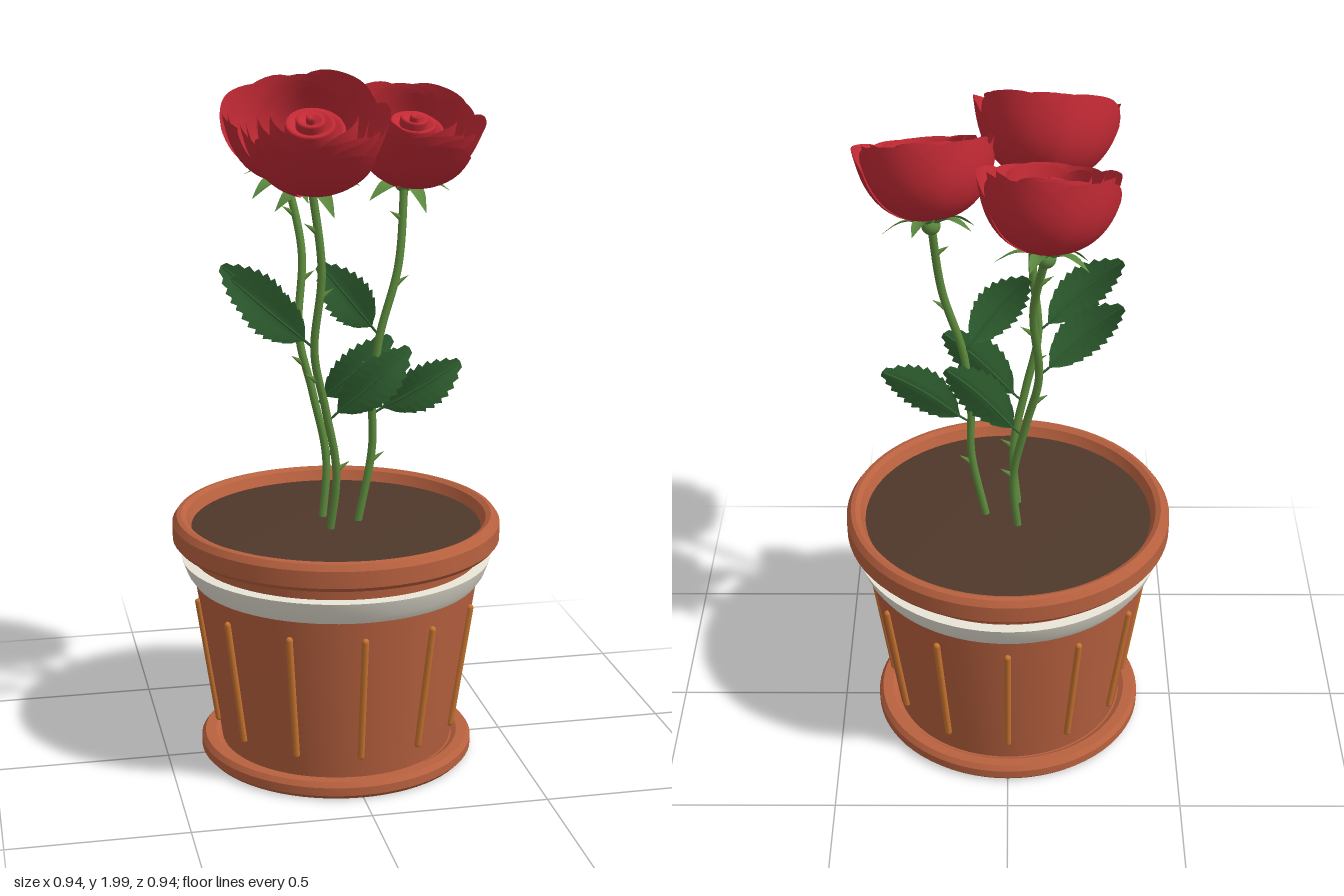
import * as THREE from 'three';
import { toCreasedNormals } from 'three/addons/utils/BufferGeometryUtils.js';

const mat = (color, side = THREE.FrontSide) => new THREE.MeshStandardMaterial({ color, side });
const V = (x, y, z) => new THREE.Vector3(x, y, z);

const clay = mat(0xb8613f);
const ribClay = mat(0xc8742f);
const cream = mat(0xe8e4d6);
const earth = mat(0x4f382b);
const stemGreen = mat(0x5c8a3c);
const sepalGreen = mat(0x5c8a40, THREE.DoubleSide);
const leafGreen = mat(0x2f6030, THREE.DoubleSide);
const red = mat(0xc42a35, THREE.DoubleSide);

function add(parent, name, geometry, material) {
  const mesh = new THREE.Mesh(geometry, material);
  mesh.name = name;
  parent.add(mesh);
  return mesh;
}

function lathe(points) {
  const profile = points.map(([r, y]) => new THREE.Vector2(r, y));
  return toCreasedNormals(new THREE.LatheGeometry(profile, 72), 0.5);
}

// Surface swept from fn(u, v), both running 0..1
function sheet(nu, nv, fn) {
  const pos = [], index = [];
  for (let i = 0; i <= nu; i++) {
    for (let j = 0; j <= nv; j++) {
      pos.push(...fn(i / nu, j / nv, i));
      if (i < nu && j < nv) {
        const a = i * (nv + 1) + j, b = a + nv + 1;
        index.push(a, b, a + 1, b, b + 1, a + 1);
      }
    }
  }
  const g = new THREE.BufferGeometry();
  g.setAttribute('position', new THREE.Float32BufferAttribute(pos, 3));
  g.setIndex(index);
  g.computeVertexNormals();
  return g;
}

function createPot() {
  const pot = new THREE.Group();
  pot.name = 'pot';
  add(pot, 'saucer', lathe([[0, 0], [0.385, 0], [0.396, 0.012], [0.396, 0.036], [0.385, 0.05], [0.355, 0.05], [0.34, 0.04], [0, 0.04]]), clay);
  add(pot, 'potWall', lathe([[0.335, 0.04], [0.408, 0.53], [0.42, 0.66]]), clay);
  add(pot, 'creamBand', lathe([[0.4, 0.53], [0.413, 0.53], [0.43, 0.555], [0.446, 0.598], [0.41, 0.6]]), cream);
  add(pot, 'rim', lathe([[0.41, 0.64], [0.46, 0.64], [0.47, 0.652], [0.47, 0.7], [0.458, 0.717],
    [0.445, 0.72], [0.43, 0.712], [0.425, 0.7], [0.41, 0.67]]), clay);
  add(pot, 'soil', lathe([[0.416, 0.683], [0.3, 0.685], [0, 0.687]]), earth);

  // Twelve raised ribs following the slope of the wall
  for (let i = 0; i < 12; i++) {
    const holder = new THREE.Group();
    holder.name = 'rib';
    holder.rotation.y = i * Math.PI / 6;
    const rib = add(holder, 'ribBar', new THREE.CapsuleGeometry(0.01, 0.365, 4, 10), ribClay);
    rib.position.set(0, 0.29, 0.376);
    rib.rotation.x = Math.atan2(0.073, 0.49);
    pot.add(holder);
  }
  return pot;
}

// Cupped petal: R radius, H height, w half angle, c how far the lip closes in
function petal(R, H, w, c) {
  return sheet(14, 12, (a, v) => {
    const u = a * 2 - 1;
    const s = v * (1 - 0.2 * Math.abs(u) ** 3);
    const r = R * (Math.sin(s * c * Math.PI) ** 0.7 * (1 + 0.05 * u) + 0.05 * s ** 8);
    const ang = w * u;
    return [r * Math.sin(ang), H * s ** 1.6, r * Math.cos(ang)];
  });
}

// Wound heart of the bloom: a stepped spiral dome
function spiralHeart(R, H) {
  const turns = 3.2, pitch = R / turns;
  const section = [[-1.1, -0.05], [-0.5, 0], [-0.12, 0.02], [0, -0.01], [0, -0.2], [-0.1, -0.5]];
  return sheet(150, section.length - 1, (t, v) => {
    const [dr, dh] = section[Math.round(v * (section.length - 1))];
    const ring = R * t + 0.004, ang = t * turns * Math.PI * 2;
    const r = Math.max(0, ring + dr * pitch);
    return [r * Math.cos(ang), H * (1 - 0.18 * t * t + dh), r * Math.sin(ang)];
  });
}

function createBloom(R) {
  const bloom = new THREE.Group();
  bloom.name = 'bloom';
  const H = R * 1.17;
  const layers = [ // count, radius, height, half angle, closing, turn
    [5, 1.0, 1.0, 0.82, 0.5, 0],
    [5, 0.88, 0.98, 0.8, 0.53, 0.6],
    [4, 0.76, 0.97, 0.95, 0.58, 0.25],
    [3, 0.6, 0.95, 1.2, 0.62, 0.9],
  ];
  layers.forEach(([n, r, h, w, c, turn], k) => {
    for (let i = 0; i < n; i++) {
      const p = add(bloom, 'petal', petal(R * r, H * h, w, c), red);
      p.rotation.y = turn + i * Math.PI * 2 / n;
      p.position.y = 0.004 * k;
    }
  });
  add(bloom, 'spiralHeart', spiralHeart(R * 0.46, H * 0.93), red);

  // Green cup and five pointed sepals
  add(bloom, 'receptacle', new THREE.SphereGeometry(0.026, 16, 12), sepalGreen).position.y = -0.012;
  const sepal = sheet(12, 4, (t, v) => {
    const k = v * 2 - 1, half = 0.022 * Math.sin(Math.PI * (0.15 + 0.85 * t) ** 0.9);
    return [half * k, -0.012 + 0.02 * Math.sin(t * 3.4) - 0.012 * t + 0.008 * k * k * (1 - t), 0.012 + 0.125 * t];
  });
  for (let i = 0; i < 5; i++) {
    add(bloom, 'sepal', sepal, sepalGreen).rotation.y = 0.3 + i * Math.PI * 0.4;
  }
  return bloom;
}

// Serrated leaf growing along +x with a short stalk and a midrib
function createLeaf(length) {
  const leaf = new THREE.Group();
  leaf.name = 'leaf';
  const stalk = 0.035, blade = length - stalk;
  const bow = t => 0.035 * Math.sin(t * 2.3);
  const geo = sheet(20, 6, (t, v, i) => {
    const k = v * 2 - 1;
    const tooth = i % 2 ? 1.1 : 0.92;
    const half = 0.064 * Math.sin(Math.PI * t ** 0.9) ** 0.75 * (Math.abs(k) > 0.9 ? tooth : 1);
    const lean = Math.abs(k) > 0.9 && i % 2 ? 0.008 : 0;
    return [stalk + blade * t + lean, half * k, bow(t) + 0.014 * Math.abs(k) * Math.sin(Math.PI * t)];
  });
  add(leaf, 'leafBlade', geo, leafGreen);
  const spine = [V(0, 0, -0.002)];
  for (let i = 0; i <= 5; i++) spine.push(V(stalk + blade * i / 5 * 0.97, 0, bow(i / 5)));
  add(leaf, 'leafMidrib', new THREE.TubeGeometry(new THREE.CatmullRomCurve3(spine), 20, 0.0035, 6), leafGreen);
  return leaf;
}

function createRose({ path, radius, axis, leaves }) {
  const rose = new THREE.Group();
  rose.name = 'rose';
  const curve = new THREE.CatmullRomCurve3(path.map(p => V(...p)));
  add(rose, 'stem', new THREE.TubeGeometry(curve, 48, 0.0115, 10), stemGreen);
  const samples = curve.getPoints(200);
  const at = y => samples.find(p => p.y >= y);

  // Thorns on alternating sides, tips tilted up
  [0.87, 1.14, 1.38, 1.56].forEach((y, i) => {
    const side = i % 2 ? -1 : 1;
    const thorn = add(rose, 'thorn', new THREE.ConeGeometry(0.009, 0.04, 8), stemGreen);
    thorn.position.copy(at(y)).add(V(side * 0.022, 0.006, 0));
    thorn.rotation.z = -side * 1.0;
  });

  leaves.forEach(([y, dx, dy]) => {
    const leaf = createLeaf(Math.hypot(dx, dy));
    leaf.position.copy(at(y));
    leaf.rotation.z = Math.atan2(dy, dx);
    rose.add(leaf);
  });

  const bloom = createBloom(radius);
  bloom.position.copy(samples[samples.length - 1]);
  bloom.quaternion.setFromUnitVectors(V(0, 1, 0), V(...axis).normalize());
  rose.add(bloom);
  return rose;
}

export function createModel() {
  const model = new THREE.Group();
  model.name = 'pottedRoses';
  model.add(createPot());

  const roses = [
    { // front
      path: [[-0.03, 0.66, 0.055], [-0.015, 0.86, 0.08], [-0.05, 1.05, 0.1], [-0.085, 1.22, 0.12], [-0.068, 1.45, 0.14], [-0.095, 1.695, 0.13]],
      radius: 0.192, axis: [-0.06, 0.87, 0.48], leaves: [[1.23, -0.235, 0.21], [1.01, 0.225, 0.21]],
    },
    { // back
      path: [[-0.03, 0.66, -0.055], [-0.015, 0.86, -0.07], [-0.05, 1.05, -0.09], [-0.085, 1.22, -0.115], [-0.068, 1.45, -0.155], [-0.1, 1.66, -0.22]],
      radius: 0.18, axis: [-0.04, 0.95, 0.3], leaves: [[1.23, -0.225, 0.2], [1.01, 0.215, 0.2]],
    },
    { // side
      path: [[0.06, 0.66, 0], [0.105, 0.9, 0], [0.105, 1.05, 0.003], [0.125, 1.23, 0.005], [0.18, 1.43, -0.005], [0.205, 1.665, -0.045]],
      radius: 0.181, axis: [0.08, 0.92, 0.37], leaves: [[1.23, -0.18, 0.22], [1.0, 0.25, 0.15]],
    },
  ];
  roses.forEach(r => model.add(createRose(r)));
  return model;
}
